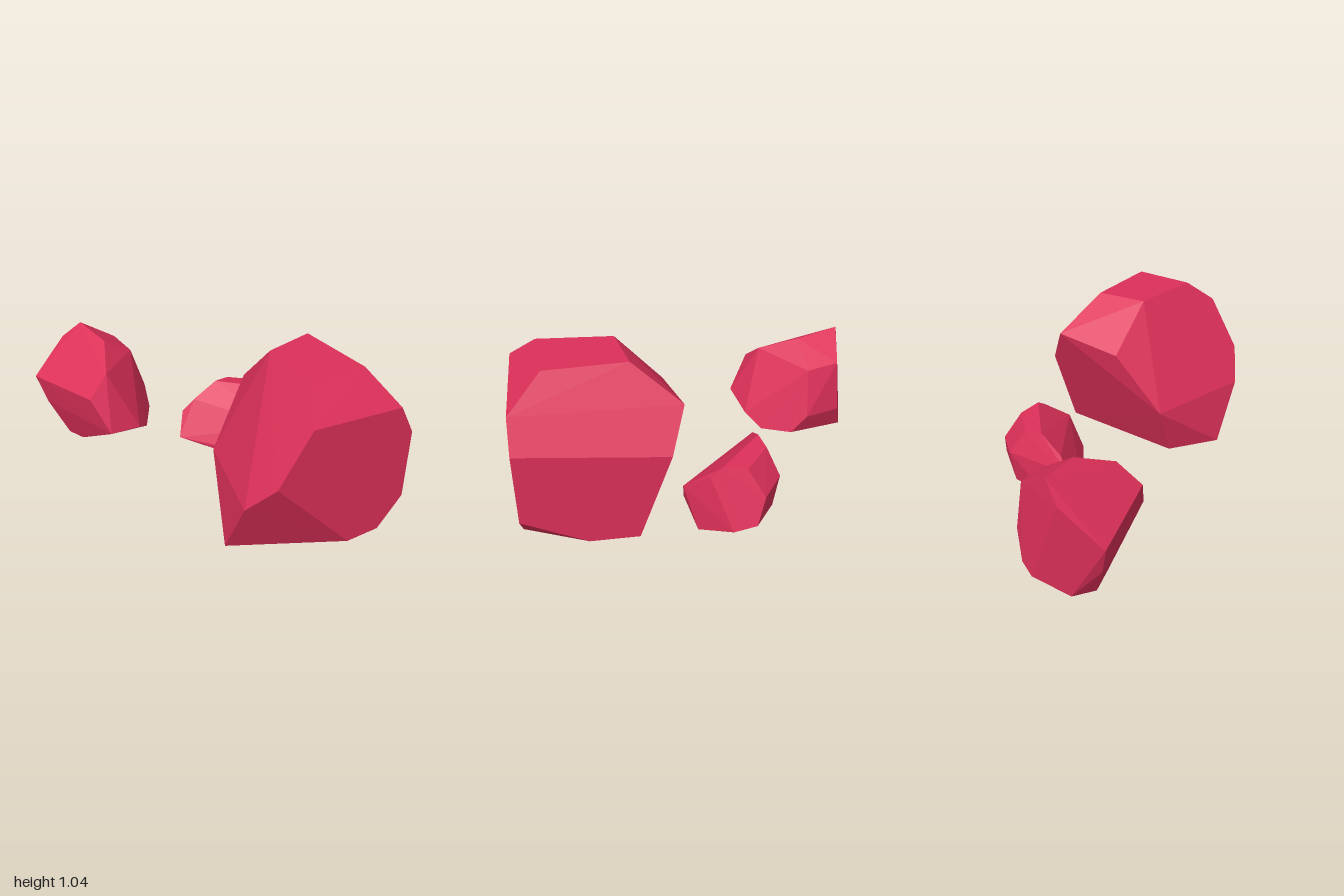
import * as THREE from 'three';
import { ConvexGeometry } from 'three/addons/geometries/ConvexGeometry.js';

const crimson = new THREE.MeshStandardMaterial({ color: 0xdc3058 });
crimson.name = 'crimson';

// A faceted stone: the convex hull of its corners, flat on every face
function stone(name, corners) {
  const points = corners.map(([x, y, z]) => new THREE.Vector3(x, y, z));
  const mesh = new THREE.Mesh(new ConvexGeometry(points), crimson);
  mesh.name = name;
  return mesh;
}

export function createModel() {
  const group = new THREE.Group();
  group.name = 'rocks';

  group.add(stone('largeRock', [
    // front face
    [0.01, 0.91, 1], [0.565, 0.86, 1], [0.66, 0.685, 1], [0.66, 0.27, 1],
    [0.51, 0.1, 1], [0.305, 0.1, 1], [-0.18, 0.63, 1],
    // top face
    [0.11, 1.04, 0.85], [0.45, 1.04, 0.82], [0.425, 1.04, 0.38], [0.14, 1.04, 0.44],
    // back shoulder
    [0.53, 0.83, 0.12], [0.15, 0.77, 0.19], [0.66, 0.605, 0.2], [-0.11, 0.42, 0.295],
    // outer side and base
    [-0.28, 0.46, 0.87], [-0.28, 0.1, 0.7], [-0.1, 0.1, 0.42],
    [0.66, 0.1, 0.38], [0.66, 0.1, 0.65],
  ]));

  group.add(stone('mediumRock', [
    // ridge
    [-0.35, 0.74, -0.945], [-0.3, 0.705, -0.695], [-0.395, 0.605, -0.475], [-0.53, 0.49, -0.425],
    [-0.69, 0.46, -0.915], [-0.46, 0.65, -0.99], [-0.14, 0.605, -0.905], [-0.115, 0.58, -0.72],
    // middle
    [-0.455, 0.285, -0.315], [-0.24, 0.235, -0.37], [-0.03, 0.305, -0.71],
    [-0.1, 0.3, -0.92], [-0.64, 0.28, -0.88],
    // base
    [-0.15, 0.165, -0.455], [-0.045, 0.19, -0.62], [-0.17, 0.145, -0.965], [-0.27, 0.125, -1],
    [-0.48, 0.065, -0.935], [-0.54, 0.05, -0.81], [-0.5, 0.063, -0.68],
  ]));

  group.add(stone('smallRock', [
    // crown
    [0.285, 0.43, -0.33], [0.39, 0.415, -0.355], [0.565, 0.41, -0.215],
    [0.555, 0.425, -0.075], [0.565, 0.38, -0.01], [0.13, 0.34, -0.335],
    // middle
    [0.48, 0.27, 0.125], [0.47, 0.27, -0.42], [0.63, 0.255, -0.305], [0.06, 0.26, -0.36],
    // base
    [0.35, 0.095, 0.105], [0.25, 0.06, -0.01], [0, 0.12, -0.29], [0.145, 0.018, -0.29],
    [0.23, 0.06, -0.39], [0.46, 0.06, -0.39], [0.68, 0.105, -0.255],
    [0.68, 0.077, -0.125], [0.54, 0, 0.05],
  ]));

  return group;
}
